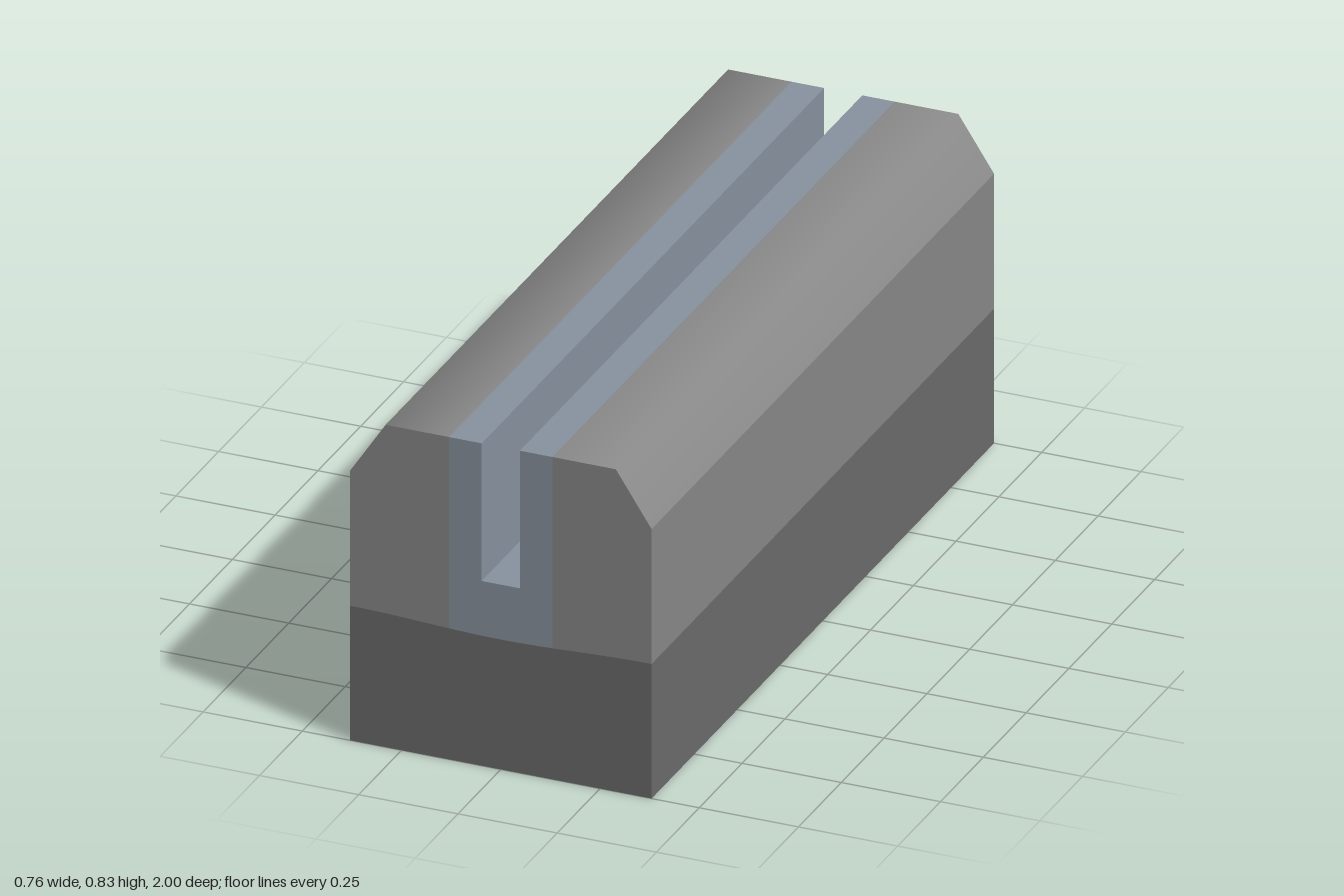
import * as THREE from 'three';

const LENGTH = 2, HALF = 0.38, TOP = 0.834;
const SHOULDER_Y = 0.697, BEND_X = 0.29;
const LINER_X = 0.13, SLOT_X = 0.048, SLOT_Y = 0.478;

// Gently dipped seam between the base and the parts above it
const seamY = (x) => 0.342 - 0.006 * Math.cos((Math.PI * x) / HALF);

function seam(x0, x1, steps) {
  const points = [];
  for (let i = 0; i <= steps; i++) {
    const x = x0 + ((x1 - x0) * i) / steps;
    points.push([x, seamY(x)]);
  }
  return points;
}

// Runs a cross-section along the full length, centred on z
function bar(name, points, color) {
  const shape = new THREE.Shape(points.map(([x, y]) => new THREE.Vector2(x, y)));
  const geometry = new THREE.ExtrudeGeometry(shape, { depth: LENGTH, bevelEnabled: false });
  geometry.translate(0, 0, -LENGTH / 2);
  const mesh = new THREE.Mesh(geometry, new THREE.MeshStandardMaterial({ color }));
  mesh.name = name;
  return mesh;
}

// Blends the shading where the flat top turns into the sloped shoulder
function softenShoulder(geometry, side) {
  const { position, normal } = geometry.attributes;
  const slope = new THREE.Vector3(TOP - SHOULDER_Y, HALF - BEND_X, 0).normalize();
  const blend = slope.add(new THREE.Vector3(0, 1, 0)).normalize();
  for (let i = 0; i < position.count; i++) {
    const atBend = Math.abs(Math.abs(position.getX(i)) - BEND_X) < 1e-4
      && Math.abs(position.getY(i) - TOP) < 1e-4;
    if (atBend && Math.abs(normal.getZ(i)) < 0.5) normal.setXYZ(i, side * blend.x, blend.y, 0);
  }
}

export function createModel() {
  const model = new THREE.Group();
  model.name = 'slottedBar';

  // Base block
  model.add(bar('base', [[-HALF, 0], [HALF, 0], ...seam(HALF, -HALF, 24)], 0x6b6b6b));

  // U-shaped liner around the slot
  model.add(bar('slotLiner', [
    ...seam(-LINER_X, LINER_X, 8),
    [LINER_X, TOP], [SLOT_X, TOP], [SLOT_X, SLOT_Y],
    [-SLOT_X, SLOT_Y], [-SLOT_X, TOP], [-LINER_X, TOP],
  ], 0x88929f));

  // Mirrored cheeks with sloped shoulders
  for (const side of [1, -1]) {
    const points = [
      ...seam(LINER_X, HALF, 8),
      [HALF, SHOULDER_Y], [BEND_X, TOP], [LINER_X, TOP],
    ].map(([x, y]) => [side * x, y]);
    const cheek = bar(side > 0 ? 'leftCheek' : 'rightCheek', points, 0x888888);
    softenShoulder(cheek.geometry, side);
    model.add(cheek);
  }

  return model;
}
